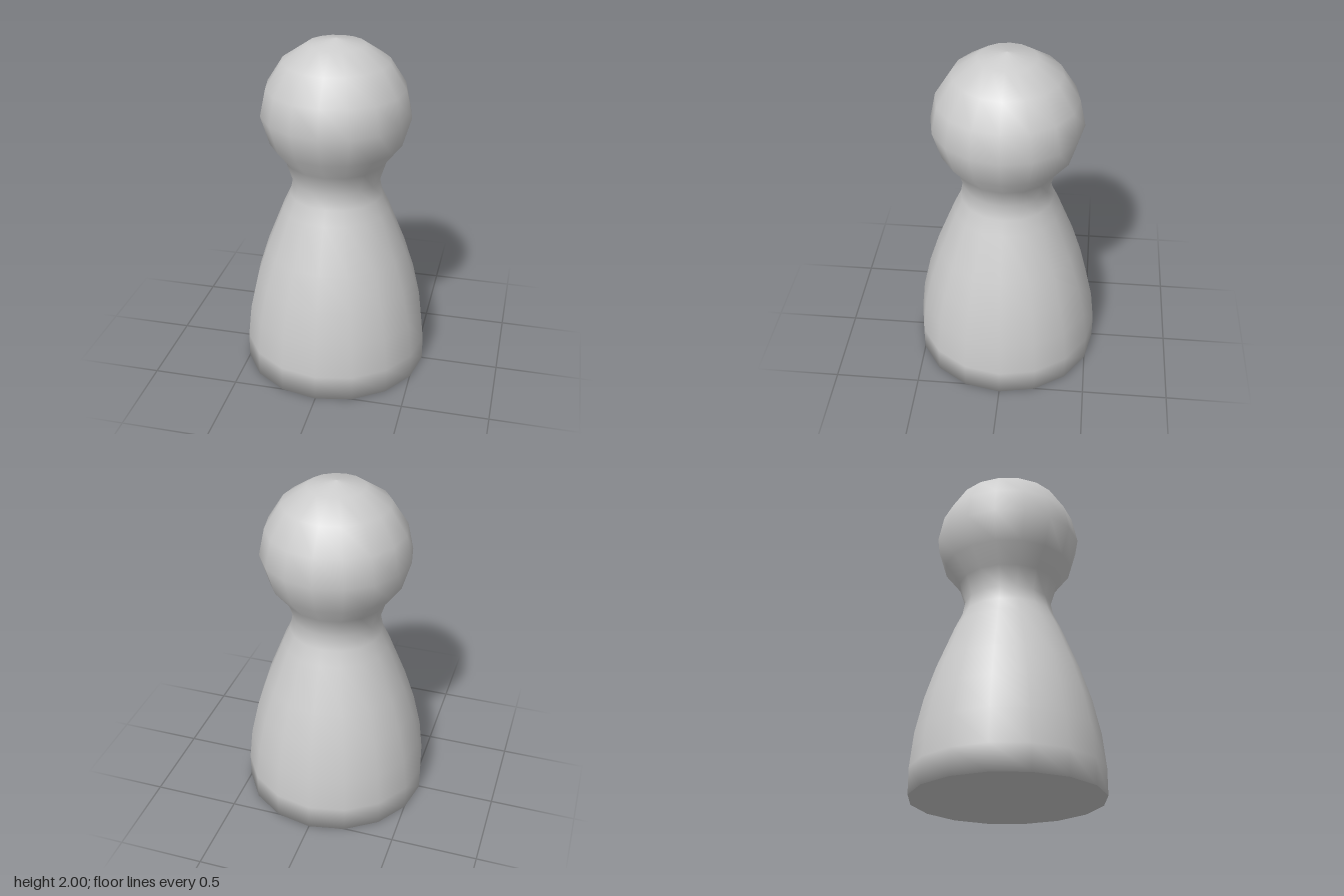
import * as THREE from 'three';

const SIDES = 16;
const BASE_RADIUS = 0.543;

// Outline from the base rim up to the crown: [radius, height]
const PROFILE = [
  [BASE_RADIUS, 0], [BASE_RADIUS, 0.15], [0.522, 0.345], [0.476, 0.55], [0.415, 0.74],
  [0.312, 1.0], [0.27, 1.09], [0.253, 1.178], [0.29, 1.295], [0.377, 1.405],
  [0.427, 1.573], [0.394, 1.73], [0.302, 1.875], [0.163, 1.968], [0, 2],
];

export function createModel() {
  const group = new THREE.Group();
  group.name = 'gamePawn';
  const material = new THREE.MeshStandardMaterial({ color: 0xcccccc });

  // Body, neck and head as one smooth turned surface
  const points = PROFILE.map(([r, y]) => new THREE.Vector2(r, y));
  const bodyGeometry = new THREE.LatheGeometry(points, SIDES);

  // Soften the shading where the wall meets the base
  const { position, normal } = bodyGeometry.attributes;
  const n = new THREE.Vector3();
  for (let i = 0; i < position.count; i++) {
    if (position.getY(i) > 0) continue;
    n.set(position.getX(i), -BASE_RADIUS, position.getZ(i)).normalize();
    normal.setXYZ(i, n.x, n.y, n.z);
  }
  const body = new THREE.Mesh(bodyGeometry, material);
  body.name = 'body';

  // Flat underside
  const base = new THREE.Mesh(
    new THREE.CircleGeometry(BASE_RADIUS, SIDES).rotateX(Math.PI / 2), material);
  base.name = 'base';

  group.add(body, base);
  return group;
}
